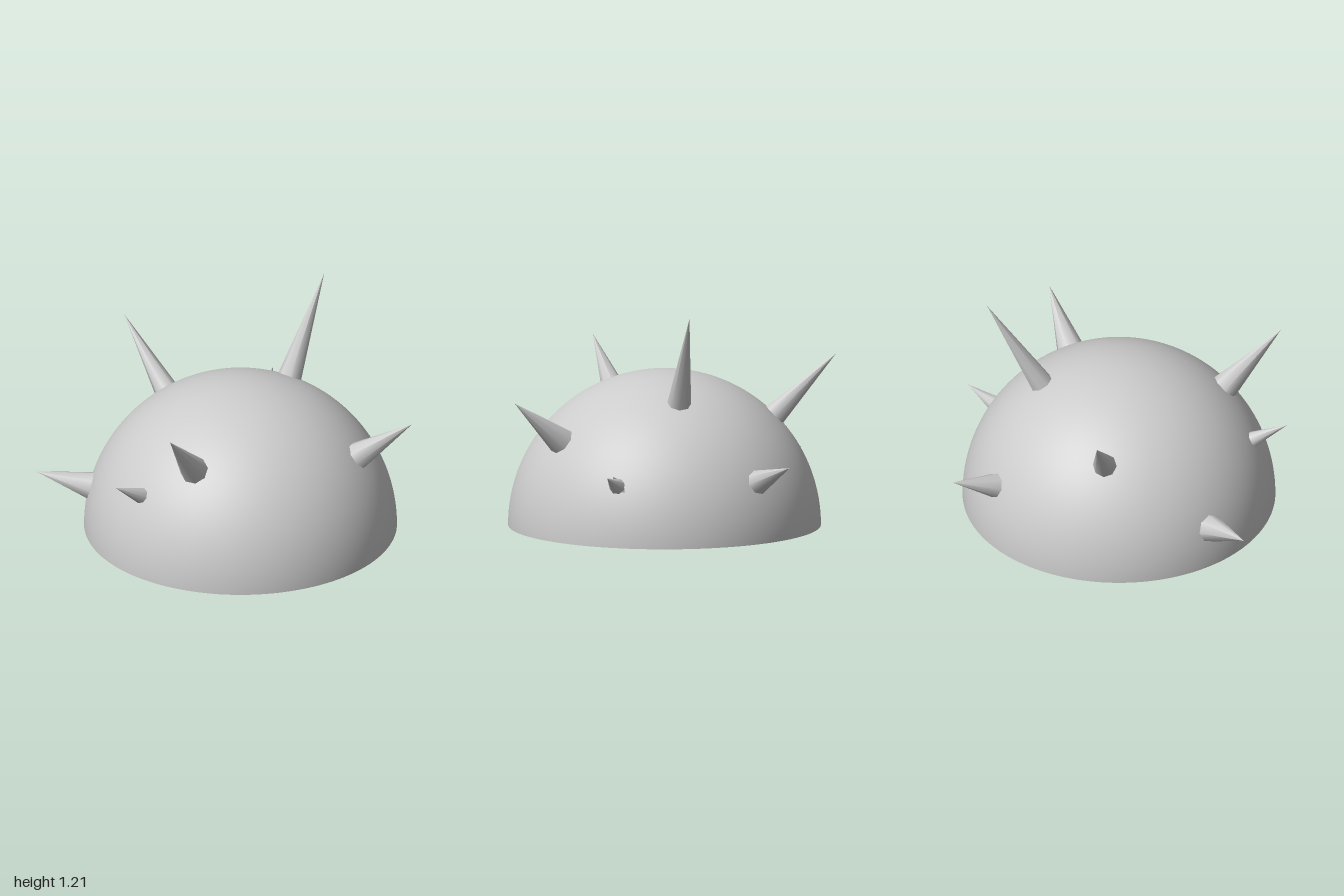
import * as THREE from 'three';

const R = 0.825;
const CENTER = [0.08, 0, 0.09];

// Spikes: tip position relative to the dome centre, and base radius
const SPIKES = [
  [-1.08, 0.29, 0, 0.075],
  [-0.34, 0.89, 0.815, 0.075],
  [-0.635, 0.52, 0.63, 0.043],
  [-0.64, 0.905, -0.64, 0.063],
  [0.42, 1.21, -0.555, 0.063],
  [0.915, 0.73, 0.24, 0.075],
  [0.845, 0.385, -0.355, 0.043],
  [0.13, 0.425, -1.005, 0.066],
].map(([x, y, z, radius]) => {
  const tip = new THREE.Vector3(x, y, z);
  return { tip, radius, dir: tip.clone().normalize(), hole: Math.asin(radius * 0.92 / R) };
});

// Open half sphere with a round opening under every hollow spike
function domeGeometry() {
  const rows = 48, cell = Math.PI / 2 / rows;
  const geo = new THREE.SphereGeometry(R, rows * 4, rows, 0, Math.PI * 2, 0, Math.PI / 2);
  const pos = geo.attributes.position, normal = geo.attributes.normal;
  const v = new THREE.Vector3(), axis = new THREE.Vector3();

  // Snap nearby vertices onto the rim of each opening
  for (let i = 0; i < pos.count; i++) {
    v.fromBufferAttribute(pos, i);
    for (const { dir, hole } of SPIKES) {
      const a = v.angleTo(dir);
      if (a > 1e-4 && Math.abs(a - hole) < cell * 0.6) {
        v.applyAxisAngle(axis.crossVectors(dir, v).normalize(), hole - a);
      }
    }
    pos.setXYZ(i, v.x, v.y, v.z);
    v.normalize();
    normal.setXYZ(i, v.x, v.y, v.z);
  }

  // Drop the faces inside the openings
  const index = geo.index.array, kept = [];
  const p = new THREE.Vector3();
  for (let i = 0; i < index.length; i += 3) {
    v.set(0, 0, 0);
    for (let k = 0; k < 3; k++) v.add(p.fromBufferAttribute(pos, index[i + k]));
    if (SPIKES.every(({ dir, hole }) => v.angleTo(dir) > hole)) {
      kept.push(index[i], index[i + 1], index[i + 2]);
    }
  }
  geo.setIndex(kept);
  return geo;
}

export function createModel() {
  const model = new THREE.Group();
  model.name = 'spikedDome';
  const material = new THREE.MeshStandardMaterial({ color: 0xcccccc, side: THREE.DoubleSide });

  const shell = new THREE.Group();
  shell.name = 'shell';
  shell.position.set(...CENTER);
  model.add(shell);

  const dome = new THREE.Mesh(domeGeometry(), material);
  dome.name = 'dome';
  shell.add(dome);

  // Hollow eight-sided spikes pointing straight out of the dome
  const up = new THREE.Vector3(0, 1, 0);
  SPIKES.forEach(({ tip, dir, radius }, i) => {
    const base = Math.sqrt(R * R - radius * radius);
    const height = tip.length() - base;
    const geo = new THREE.ConeGeometry(radius, height, 8, 1, true);
    geo.translate(0, base + height / 2, 0);
    const spike = new THREE.Mesh(geo, material);
    spike.name = `spike${i + 1}`;
    spike.quaternion.setFromUnitVectors(up, dir);
    shell.add(spike);
  });

  return model;
}
